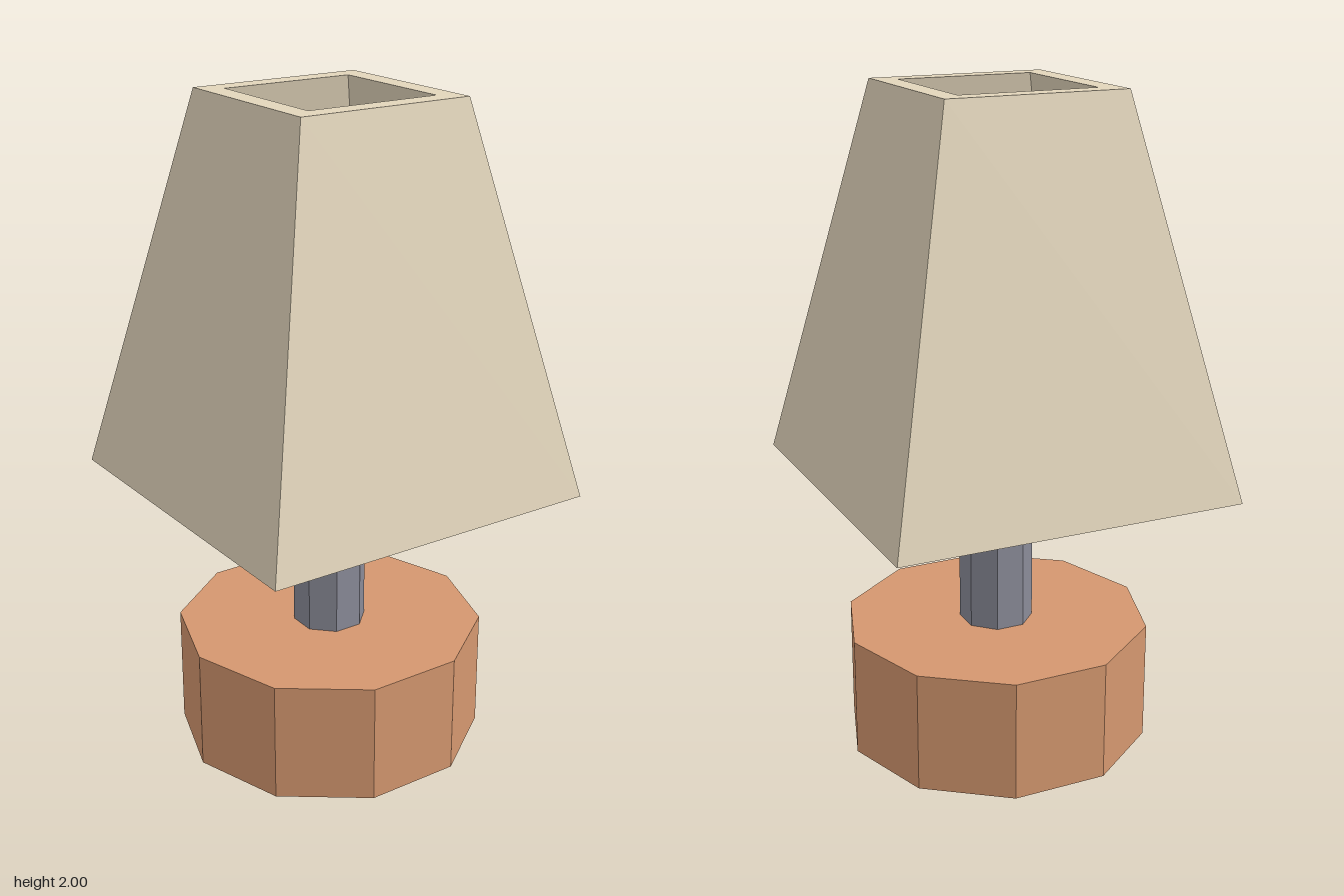
import * as THREE from 'three';

function material(name, color) {
  const m = new THREE.MeshStandardMaterial({ color, flatShading: true });
  m.name = name;
  return m;
}

export function createModel() {
  const terracotta = material('terracotta', 0xd4976f);
  const slate = material('slate grey', 0x8a8b98);
  const cream = material('cream', 0xe2d5bb);

  const lamp = new THREE.Group();
  lamp.name = 'tableLamp';

  // Upright faceted cylinder standing between two heights
  function prism(name, radius, bottom, top, sides, turn, mat) {
    const geometry = new THREE.CylinderGeometry(radius, radius, top - bottom, sides, 1, false, turn);
    const mesh = new THREE.Mesh(geometry, mat);
    mesh.name = name;
    mesh.position.y = (bottom + top) / 2;
    lamp.add(mesh);
  }

  prism('base', 0.47, 0, 0.37, 10, Math.PI / 2, terracotta);
  prism('pole', 0.112, 0.37, 0.91, 8, Math.PI / 8, slate);
  prism('bulb', 0.154, 1.01, 1.33, 8, Math.PI / 8, cream);

  // Square shade: half-widths and heights of the closed wall section
  const wall = [
    [0.533, 0.84], // outer bottom
    [0.275, 2], // outer top
    [0.21, 2], // inner top
    [0.449, 0.89], // inner bottom, raised for a sloping rim
    [0.533, 0.84],
  ].map(([half, y]) => new THREE.Vector2(half * Math.SQRT2, y));
  const shade = new THREE.Mesh(new THREE.LatheGeometry(wall, 4, Math.PI / 4), cream);
  shade.name = 'shade';
  lamp.add(shade);

  return lamp;
}
